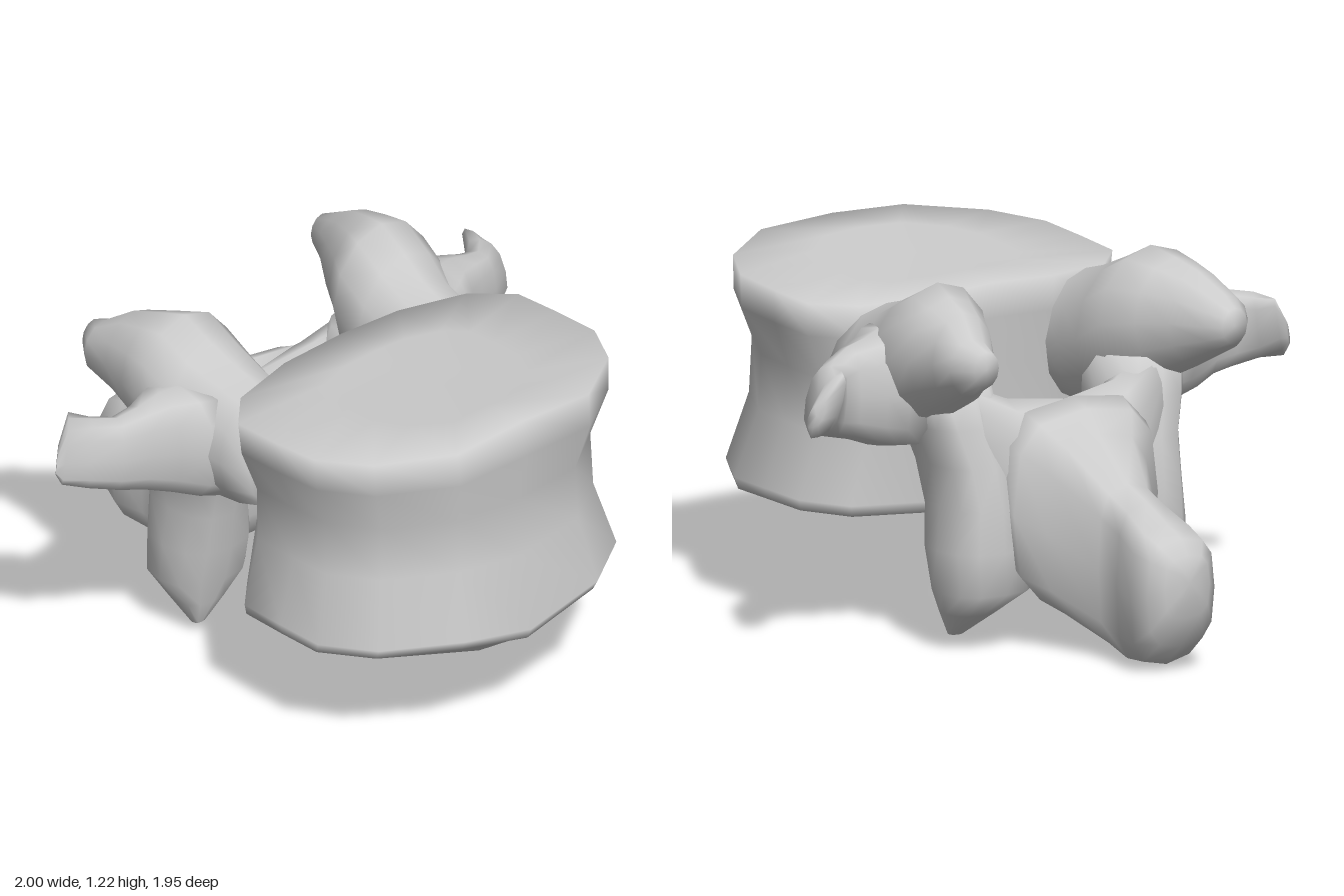
import * as THREE from 'three';

const material = new THREE.MeshStandardMaterial({ color: 0xcccccc });

// Joins closed rings of points into a smooth capped solid, facing outwards
function solid(name, rings) {
  const n = rings[0].length, pos = [], idx = [];
  rings.forEach(r => r.forEach(p => pos.push(...p)));
  const centre = r => [0, 1, 2].map(k => r.reduce((s, p) => s + p[k], 0) / n);
  pos.push(...centre(rings[0]), ...centre(rings.at(-1)));
  const a = rings.length * n, last = a - n;
  for (let j = 0; j < n; j++) {
    const k = (j + 1) % n;
    idx.push(a, k, j, a + 1, last + j, last + k);
    for (let i = 0; i < rings.length - 1; i++) {
      const o = i * n;
      idx.push(o + j, o + k, o + n + j, o + k, o + n + k, o + n + j);
    }
  }
  // Signed volume tells whether the winding must be turned round
  let volume = 0;
  const v = i => new THREE.Vector3(pos[3 * i], pos[3 * i + 1], pos[3 * i + 2]);
  for (let t = 0; t < idx.length; t += 3) volume += v(idx[t]).dot(v(idx[t + 1]).cross(v(idx[t + 2])));
  if (volume < 0) idx.reverse();
  const g = new THREE.BufferGeometry();
  g.setAttribute('position', new THREE.Float32BufferAttribute(pos, 3));
  g.setIndex(idx);
  g.computeVertexNormals();
  const mesh = new THREE.Mesh(g, material);
  mesh.name = name;
  return mesh;
}

// Ring from a centre and two half-axis vectors; power runs from boxy (0.5) to diamond (2)
function ring([c, a, b], side, power, n = 12) {
  const soft = t => Math.sign(t) * Math.pow(Math.abs(t), power);
  return Array.from({ length: n }, (_, i) => {
    const t = (i / n) * Math.PI * 2, u = soft(Math.cos(t)), w = soft(Math.sin(t));
    const p = c.map((q, k) => q + a[k] * u + b[k] * w);
    return [p[0], p[1], p[2] * side];
  });
}
const loft = (name, sections, side = 1, power = 0.8) =>
  solid(name, sections.map(s => ring(s, side, power)));

// Section helpers, given as extents across each travel direction
const alongX = (x, y0, y1, z0, z1) =>
  [[x, (y0 + y1) / 2, (z0 + z1) / 2], [0, (y1 - y0) / 2, 0], [0, 0, (z1 - z0) / 2]];
const alongY = (y, x0, x1, z0, z1) =>
  [[(x0 + x1) / 2, y, (z0 + z1) / 2], [(x1 - x0) / 2, 0, 0], [0, 0, (z1 - z0) / 2]];
const alongZ = (z, x0, x1, y0, y1) =>
  [[(x0 + x1) / 2, (y0 + y1) / 2, z], [(x1 - x0) / 2, 0, 0], [0, (y1 - y0) / 2, 0]];

// Waisted drum with gently bulging end plates and a drooping lower lip
function vertebralBody() {
  // x, z and height of the lower rim
  const half = [[0.08, 0, 0.36], [0.08, 0.25, 0.36], [0.14, 0.5, 0.37], [0.26, 0.62, 0.385],
    [0.44, 0.625, 0.39], [0.64, 0.62, 0.39], [0.82, 0.52, 0.405], [0.98, 0.29, 0.42], [0.98, 0, 0.35]];
  const outline = [...half, ...half.slice(1, -1).reverse().map(([x, z, y]) => [x, -z, y])];
  const top = (x, z) => 1.095 + 0.065 * x - 0.045 * Math.abs(z);
  const bottom = (x, z) => 0.365 - 0.06 * x + 0.12 * Math.abs(z);
  // Level, depth scale in x, width scale in z
  const levels = [[0, 1, 0.99], [0.05, 1.02, 1], [0.36, 0.96, 0.89], [0.62, 0.95, 0.88],
    [0.84, 0.99, 0.975], [1, 0.98, 0.99]];
  const rings = levels.map(([t, sx, sz]) => outline.map(([x, z, y]) =>
    [x > 0.5 ? x * sx : x + 0.04 * (1 - t), THREE.MathUtils.lerp(y, top(x, z), t), z * sz]));
  const plate = (height, s) => outline.map(([x, z]) => {
    const px = 0.5 + (x - 0.5) * s, pz = z * 0.5;
    return [px, height(px, pz), pz];
  });
  return solid('vertebralBody', [plate(bottom, 0.85), ...rings, plate(top, 0.6)]);
}

export function createModel() {
  const model = new THREE.Group();
  model.add(vertebralBody());

  // Arch plate closing the canal behind the body
  model.add(loft('lamina', [
    alongZ(-0.36, -0.37, -0.12, 0.5, 0.88), alongZ(-0.22, -0.41, -0.17, 0.24, 0.82),
    alongZ(0, -0.44, -0.18, 0.22, 0.79),
    alongZ(0.22, -0.41, -0.17, 0.24, 0.82), alongZ(0.36, -0.37, -0.12, 0.5, 0.88)]));

  // Spine running back and down to a rounded knob
  model.add(loft('spinousProcess', [
    [-0.28, 0.4, 0.74, 0.24], [-0.36, 0.22, 0.81, 0.31], [-0.43, 0.14, 0.78, 0.29],
    [-0.5, 0.1, 0.71, 0.21], [-0.66, 0.03, 0.575, 0.12], [-0.76, 0, 0.535, 0.12],
    [-0.87, 0.015, 0.485, 0.145], [-0.95, 0.09, 0.45, 0.135], [-0.985, 0.19, 0.4, 0.09],
    [-1, 0.26, 0.36, 0.04],
  ].map(([x, y0, y1, w]) => alongX(x, y0, y1, -w, w)), 1, 0.65));

  for (const side of [1, -1]) {
    const half = new THREE.Group();
    half.name = side > 0 ? 'leftArch' : 'rightArch';

    // Pedicle leaving the body and rising into the ridged upper joint
    half.add(loft('pedicleAndUpperProcess', [
      alongX(0.24, 0.68, 1.05, 0.22, 0.55), alongX(0.13, 0.65, 1.08, 0.22, 0.58),
      alongX(0.03, 0.64, 1.11, 0.22, 0.59), alongX(-0.08, 0.66, 1.16, 0.215, 0.63),
      alongX(-0.2, 0.74, 1.22, 0.22, 0.64), alongX(-0.3, 0.8, 1.195, 0.29, 0.62),
      alongX(-0.4, 0.85, 1.165, 0.35, 0.6), alongX(-0.5, 0.91, 1.1, 0.42, 0.6),
      alongX(-0.565, 0.95, 1.07, 0.45, 0.55)], side, 1));

    // Side wing, curling backwards to a blade tip
    half.add(loft('transverseProcess', [
      alongZ(0.48, -0.27, 0.17, 0.66, 1.07), alongZ(0.57, -0.25, 0.1, 0.67, 1.065),
      alongZ(0.64, -0.22, 0.02, 0.69, 1.05), alongZ(0.72, -0.18, -0.03, 0.72, 1.03),
      [[-0.13, 0.875, 0.8], [0.06, 0, 0.015], [0, 0.13, -0.01]],
      [[-0.18, 0.885, 0.87], [0.055, 0, 0.035], [-0.01, 0.115, -0.02]],
      [[-0.25, 0.885, 0.91], [0.04, -0.03, 0.035], [-0.01, 0.1, -0.025]],
      [[-0.245, 0.86, 0.95], [0.02, -0.01, 0.02], [-0.005, 0.04, -0.01]]], side));

    // Lower joint hanging to a point
    half.add(loft('lowerProcess', [
      alongY(0.88, -0.32, 0, 0.24, 0.54), alongY(0.75, -0.36, -0.01, 0.22, 0.51),
      alongY(0.62, -0.39, -0.04, 0.2, 0.47), alongY(0.48, -0.42, -0.08, 0.19, 0.46),
      alongY(0.34, -0.42, -0.1, 0.16, 0.475), alongY(0.2, -0.42, -0.14, 0.15, 0.47),
      alongY(0.12, -0.33, -0.16, 0.25, 0.43), alongY(0.04, -0.23, -0.19, 0.34, 0.39)], side));
    model.add(half);
  }
  return model;
}
